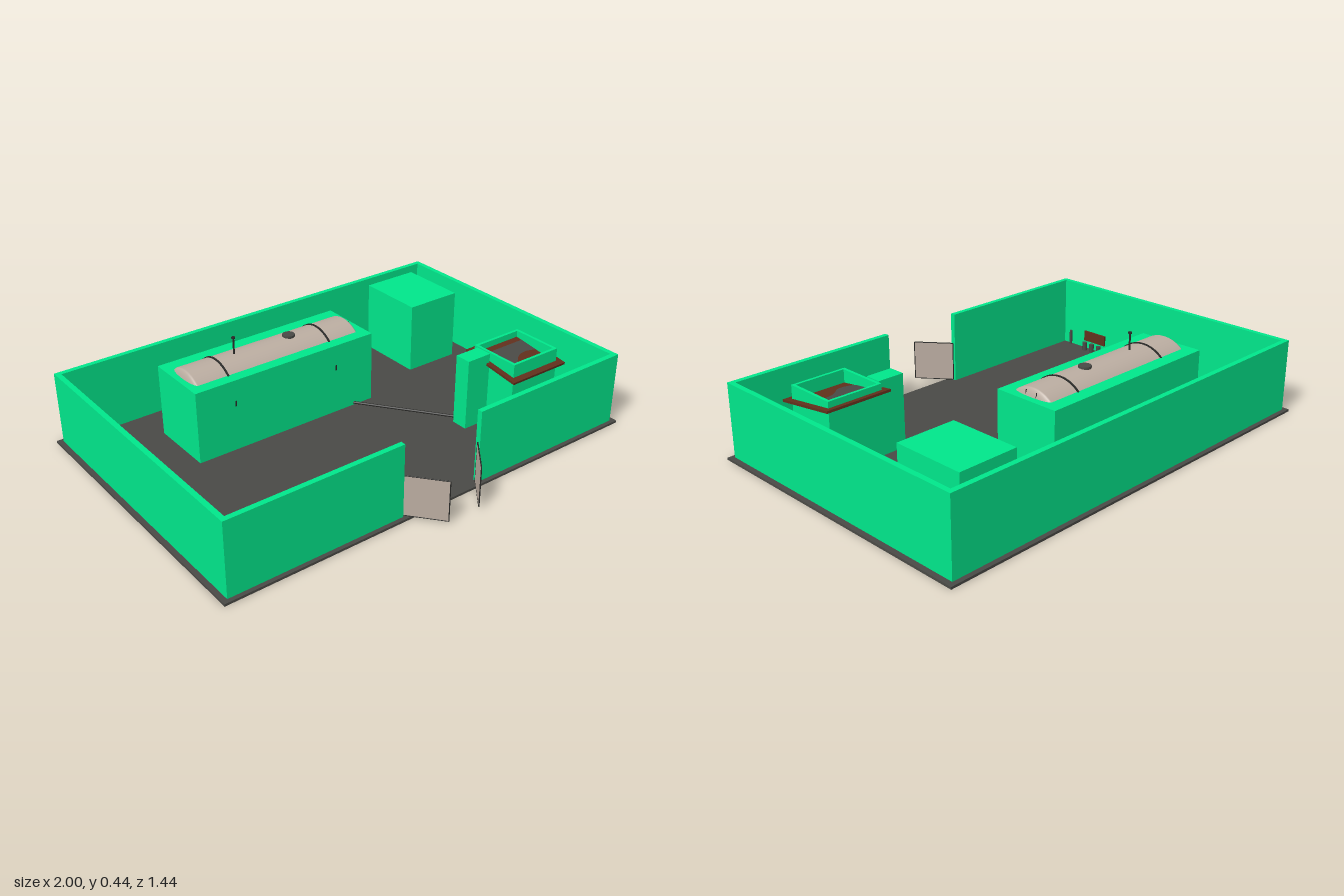
import * as THREE from 'three';

const mat = (name, color) => Object.assign(new THREE.MeshStandardMaterial({ color }), { name });

export function createModel() {
  const green = mat('green masonry', 0x00e88c);
  const ground = mat('dark paving', 0x4a4a46);
  const steel = mat('pale steel', 0xbcaea2);
  const brown = mat('rust brown', 0x62301c);
  const dark = mat('dark metal', 0x2b2b29);

  const model = new THREE.Group();
  model.name = 'fuelDepot';
  const add = (name, geometry, material, parent = model) => {
    const mesh = new THREE.Mesh(geometry, material);
    mesh.name = name;
    parent.add(mesh);
    return mesh;
  };
  // Box given by its limits on each axis
  const block = (name, [x0, x1], [y0, y1], [z0, z1], material, parent) => {
    const m = add(name, new THREE.BoxGeometry(x1 - x0, y1 - y0, z1 - z0), material, parent);
    m.position.set((x0 + x1) / 2, (y0 + y1) / 2, (z0 + z1) / 2);
    return m;
  };
  // Round bar between two points
  const bar = (name, from, to, r, material, parent, sides = 12) => {
    const a = new THREE.Vector3(...from), b = new THREE.Vector3(...to);
    const m = add(name, new THREE.CylinderGeometry(r, r, a.distanceTo(b), sides), material, parent);
    m.position.copy(a).lerp(b, 0.5);
    m.quaternion.setFromUnitVectors(new THREE.Vector3(0, 1, 0), b.sub(a).normalize());
    return m;
  };

  const TOP = 0.333;
  const H = [0.002, TOP];

  // Ground slab and perimeter wall with a gateway at the front
  block('groundSlab', [-1, 1], [0, 0.01], [-0.72, 0.608], ground);
  block('backWall', [-0.978, 0.977], H, [-0.7, -0.677], green);
  block('rightWall', [-0.978, -0.955], H, [-0.677, 0.567], green);
  block('leftWall', [0.954, 0.977], H, [-0.677, 0.567], green);
  block('frontWallRight', [-0.978, -0.195], H, [0.567, 0.59], green);
  block('frontWallLeft', [0.19, 0.977], H, [0.567, 0.59], green);

  // Gate leaves swung outwards, each in a thin dark frame
  for (const [name, hinge, tip] of [['gateRight', -0.193, -0.08], ['gateLeft', 0.188, 0.075]]) {
    const dx = tip - hinge, dz = 0.14, w = Math.hypot(dx, dz) / 2, h = 0.089;
    const gate = new THREE.Group();
    gate.name = name;
    gate.position.set((hinge + tip) / 2, 0.102, 0.649);
    gate.rotation.y = -Math.atan2(dz, dx);
    model.add(gate);
    add('gateSheet', new THREE.BoxGeometry(2 * w, 2 * h, 0.003), steel, gate);
    for (const s of [-1, 1]) {
      bar('gateRail', [-w, s * h, 0], [w, s * h, 0], 0.0025, dark, gate, 6);
      bar('gateStile', [s * w, -h, 0], [s * w, h, 0], 0.0025, dark, gate, 6);
    }
  }

  // Tank bedded in its plinth
  block('tankPlinth', [-0.61, 0.28], H, [-0.5, -0.2], green);
  const tank = new THREE.Group();
  tank.name = 'tank';
  tank.position.set(0, 0.226, -0.345);
  model.add(tank);
  const R = 0.142, profile = [];
  for (let i = 0; i <= 8; i++) {
    const a = (i / 8) * Math.PI / 2;
    profile.push(new THREE.Vector2(R * Math.sin(a), -0.565 - 0.03 * Math.cos(a)));
  }
  for (let i = 8; i >= 0; i--) {
    const a = (i / 8) * Math.PI / 2;
    profile.push(new THREE.Vector2(R * Math.sin(a), 0.23 + 0.03 * Math.cos(a)));
  }
  add('tankShell', new THREE.LatheGeometry(profile, 40), steel, tank).rotation.z = -Math.PI / 2;
  for (const x of [-0.425, 0.085]) {
    bar('tankBand', [x - 0.004, 0, 0], [x + 0.004, 0, 0], R + 0.004, dark, tank, 40);
  }
  // Manhole, vent pipe and end ladder
  add('manhole', new THREE.CylinderGeometry(0.027, 0.027, 0.03, 24), ground, tank)
    .position.set(-0.06, 0.135, 0);
  bar('ventPipe', [-0.335, 0.12, 0], [-0.335, 0.216, 0], 0.004, dark, tank);
  bar('ventCap', [-0.335, 0.212, 0], [-0.335, 0.219, 0], 0.008, dark, tank);
  for (const z of [-0.027, 0.027]) {
    bar('ladderRail', [0.249, 0.09, z], [0.243, 0.13, z], 0.002, dark, tank);
  }

  // Service building, dispenser and supply pipe
  block('serviceBuilding', [0.595, 0.86], H, [-0.615, -0.297], green);
  block('dispenser', [0.432, 0.553], H, [0.182, 0.257], green);
  bar('supplyPipe', [0.18, 0.02, -0.205], [0.475, 0.02, 0.19], 0.006, dark);

  // Booth: hollow walls pierced by a sloping roof
  const booth = new THREE.Group();
  booth.name = 'booth';
  model.add(booth);
  block('boothBack', [0.56, 0.815], H, [0.157, 0.17], green, booth);
  block('boothFront', [0.56, 0.815], H, [0.381, 0.394], green, booth);
  block('boothRight', [0.56, 0.573], H, [0.17, 0.381], green, booth);
  block('boothLeft', [0.802, 0.815], H, [0.17, 0.381], green, booth);
  const roof = new THREE.Group();
  roof.name = 'boothRoof';
  roof.position.set(0.6875, 0.285, 0.277);
  roof.rotation.x = 0.135;
  booth.add(roof);
  block('roofSlab', [-0.1525, 0.1525], [-0.005, 0.005], [-0.147, 0.147], brown, roof);
  // Worn dark covering on part of the roof
  const patch = new THREE.Shape();
  patch.moveTo(-0.114, 0.078);
  patch.lineTo(0.114, 0.078);
  patch.lineTo(0.114, -0.012);
  patch.quadraticCurveTo(0.03, 0.03, -0.03, -0.045);
  patch.quadraticCurveTo(-0.07, -0.07, -0.114, -0.03);
  const cover = add('roofCover', new THREE.ShapeGeometry(patch), ground, roof);
  cover.rotation.x = -Math.PI / 2;
  cover.position.y = 0.0065;

  // Fire point on the right wall
  block('firePanel', [-0.955, -0.946], [0.05, 0.1], [0.3, 0.43], brown);
  for (const z of [0.318, 0.363, 0.408]) {
    bar('fireBucket', [-0.925, 0.01, z], [-0.925, 0.05, z], 0.012, ground);
  }
  bar('firePost', [-0.947, 0.01, 0.52], [-0.947, 0.08, 0.52], 0.007, ground);

  return model;
}
